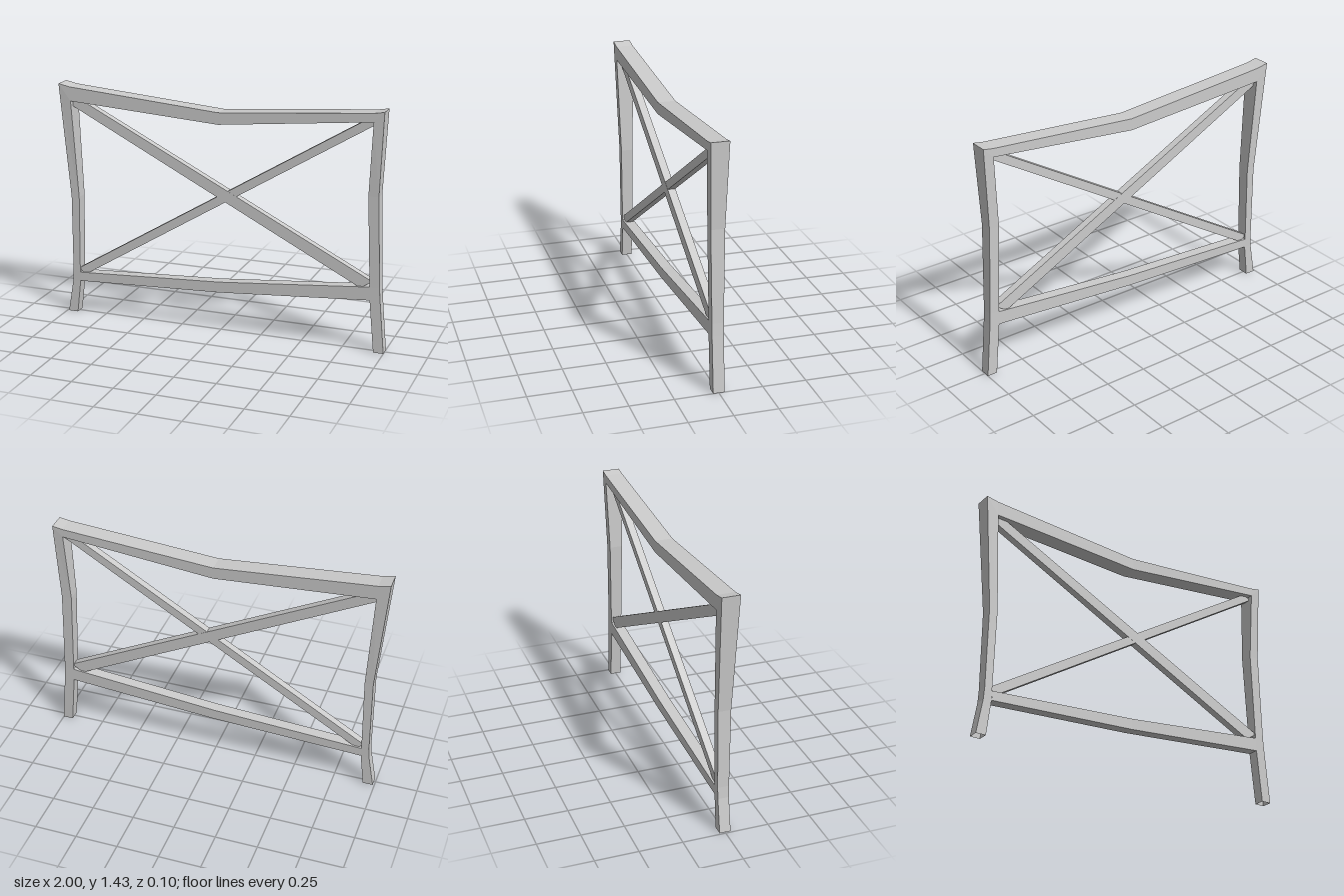
import * as THREE from 'three';

const material = new THREE.MeshStandardMaterial({ color: 0xcccccc, flatShading: true, side: THREE.DoubleSide });

// Open-ended rectangular beam. Each station is [ax, ay, bx, by, halfDepth],
// with edge a lying to the left of the direction of travel and edge b to the right.
function beam(name, stations) {
  const loops = stations.map(([ax, ay, bx, by, h]) => [[ax, ay, h], [ax, ay, -h], [bx, by, -h], [bx, by, h]]);
  const positions = [];
  for (let i = 0; i < loops.length - 1; i++) {
    for (let k = 0; k < 4; k++) {
      const n = (k + 1) % 4;
      const a = loops[i][k], b = loops[i + 1][k], c = loops[i + 1][n], d = loops[i][n];
      positions.push(...a, ...b, ...c, ...a, ...c, ...d);
    }
  }
  const geometry = new THREE.BufferGeometry();
  geometry.setAttribute('position', new THREE.Float32BufferAttribute(positions, 3));
  geometry.computeVertexNormals();
  const mesh = new THREE.Mesh(geometry, material);
  mesh.name = name;
  return mesh;
}

export function createModel() {
  const group = new THREE.Group();
  group.name = 'fencePanel';

  group.add(
    // Bent posts, widening in depth towards the mitred top corners
    beam('rightPost', [
      [-0.99, 0, -0.93, 0, 0.032],
      [-0.955, 0.2, -0.905, 0.205, 0.032],
      [-0.95, 0.27, -0.905, 0.27, 0.033],
      [-0.945, 0.74, -0.895, 0.74, 0.037],
      [-1, 1.43, -0.925, 1.33, 0.052],
    ]),
    beam('leftPost', [
      [0.94, 0, 1, 0, 0.032],
      [0.91, 0.315, 0.97, 0.33, 0.033],
      [0.907, 0.395, 0.965, 0.4, 0.033],
      [0.885, 0.93, 0.945, 0.93, 0.039],
      [0.905, 1.355, 0.965, 1.415, 0.052],
    ]),
    // Sagging top rail
    beam('topRail', [
      [-1, 1.43, -0.925, 1.33, 0.052],
      [-0.93, 1.415, -0.925, 1.33, 0.052],
      [0, 1.335, 0, 1.265, 0.052],
      [0.905, 1.405, 0.905, 1.355, 0.052],
      [0.965, 1.415, 0.905, 1.355, 0.052],
    ]),
    // Slanting bottom rail
    beam('bottomRail', [
      [-0.905, 0.26, -0.905, 0.205, 0.033],
      [0, 0.31, 0, 0.245, 0.033],
      [0.907, 0.395, 0.91, 0.315, 0.033],
    ]),
    // Crossed diagonal braces, slimmer than the frame
    beam('wideBrace', [
      [-0.89, 1.345, -0.945, 1.305, 0.023],
      [0.92, 0.425, 0.85, 0.38, 0.023],
    ]),
    beam('narrowBrace', [
      [-0.92, 0.281, -0.87, 0.25, 0.022],
      [0.86, 1.36, 0.92, 1.34, 0.022],
    ]),
  );
  return group;
}
